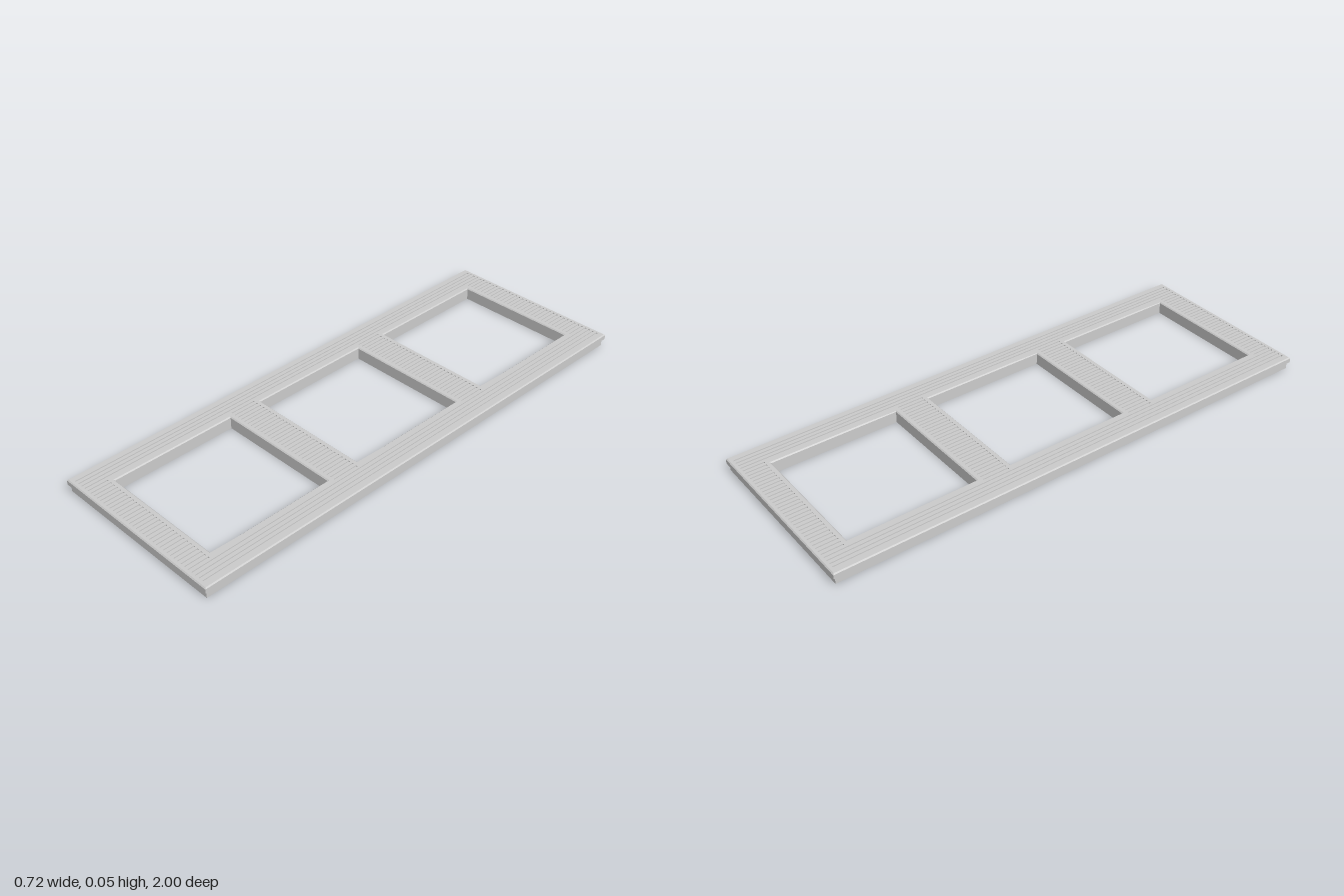
import * as THREE from 'three';

const material = new THREE.MeshStandardMaterial({ color: 0xcccccc, flatShading: true });
const HALF_X = 0.362, HALF_Z = 1, OPEN = 0.249;
const CENTRES = [-0.638, 0, 0.638];

// Closed rectangle from its limits
function rect(Type, x0, x1, z0, z1) {
  const p = new Type();
  p.moveTo(x0, z0);
  p.lineTo(x1, z0);
  p.lineTo(x1, z1);
  p.lineTo(x0, z1);
  p.closePath();
  return p;
}

// Rectangular plate pierced by the three square openings
function frameShape(hx, hz) {
  const s = rect(THREE.Shape, -hx, hx, -hz, hz);
  for (const c of CENTRES) s.holes.push(rect(THREE.Path, -OPEN, OPEN, c - OPEN, c + OPEN));
  return s;
}

// Extrude upward from y0 to y1
function slab(shape, y0, y1) {
  const g = new THREE.ExtrudeGeometry(shape, { depth: y1 - y0, bevelEnabled: false });
  g.rotateX(-Math.PI / 2);
  g.translate(0, y0, 0);
  return g;
}

// Top layer with narrow slots running lengthwise
function groovedShape() {
  const s = frameShape(HALF_X, HALF_Z);
  const pitch = 0.0175, half = 0.0035, rim = 0.018;
  const groove = (x, z0, z1) => s.holes.push(rect(THREE.Path, x - half, x + half, z0, z1));
  const ends = [-0.985];
  for (const c of CENTRES) ends.push(c - OPEN - rim, c + OPEN + rim);
  ends.push(0.985);
  for (let i = -19; i <= 19; i++) {
    const x = i * pitch;
    if (Math.abs(i) > 15) groove(x, -0.985, 0.985);   // side rails
    else for (let k = 0; k < ends.length; k += 2) groove(x, ends[k], ends[k + 1]); // cross bars
  }
  return s;
}

// Slope the top edge of the outline and of each opening
function chamferTop(g, top, size) {
  const p = g.attributes.position;
  const near = (a, b) => Math.abs(a - b) < 1e-4;
  for (let i = 0; i < p.count; i++) {
    if (!near(p.getY(i), top)) continue;
    const x = p.getX(i), z = p.getZ(i);
    if (near(Math.abs(x), HALF_X)) {
      p.setXYZ(i, x - Math.sign(x) * size, top, z - Math.sign(z) * size);
    } else if (near(Math.abs(x), OPEN)) {
      for (const c of CENTRES) {
        if (near(Math.abs(z - c), OPEN)) {
          p.setXYZ(i, x + Math.sign(x) * size, top, z + Math.sign(z - c) * size);
          break;
        }
      }
    }
  }
  g.computeVertexNormals();
  return g;
}

export function createModel() {
  const group = new THREE.Group();
  group.name = 'tripleFrame';
  const add = (name, geometry) => {
    const m = new THREE.Mesh(geometry, material);
    m.name = name;
    group.add(m);
  };
  add('lowerFrame', slab(frameShape(0.354, 0.992), 0, 0.028));
  add('upperFrame', slab(frameShape(HALF_X, HALF_Z), 0.028, 0.045));
  add('groovedTop', chamferTop(slab(groovedShape(), 0.045, 0.049), 0.049, 0.004));
  return group;
}
